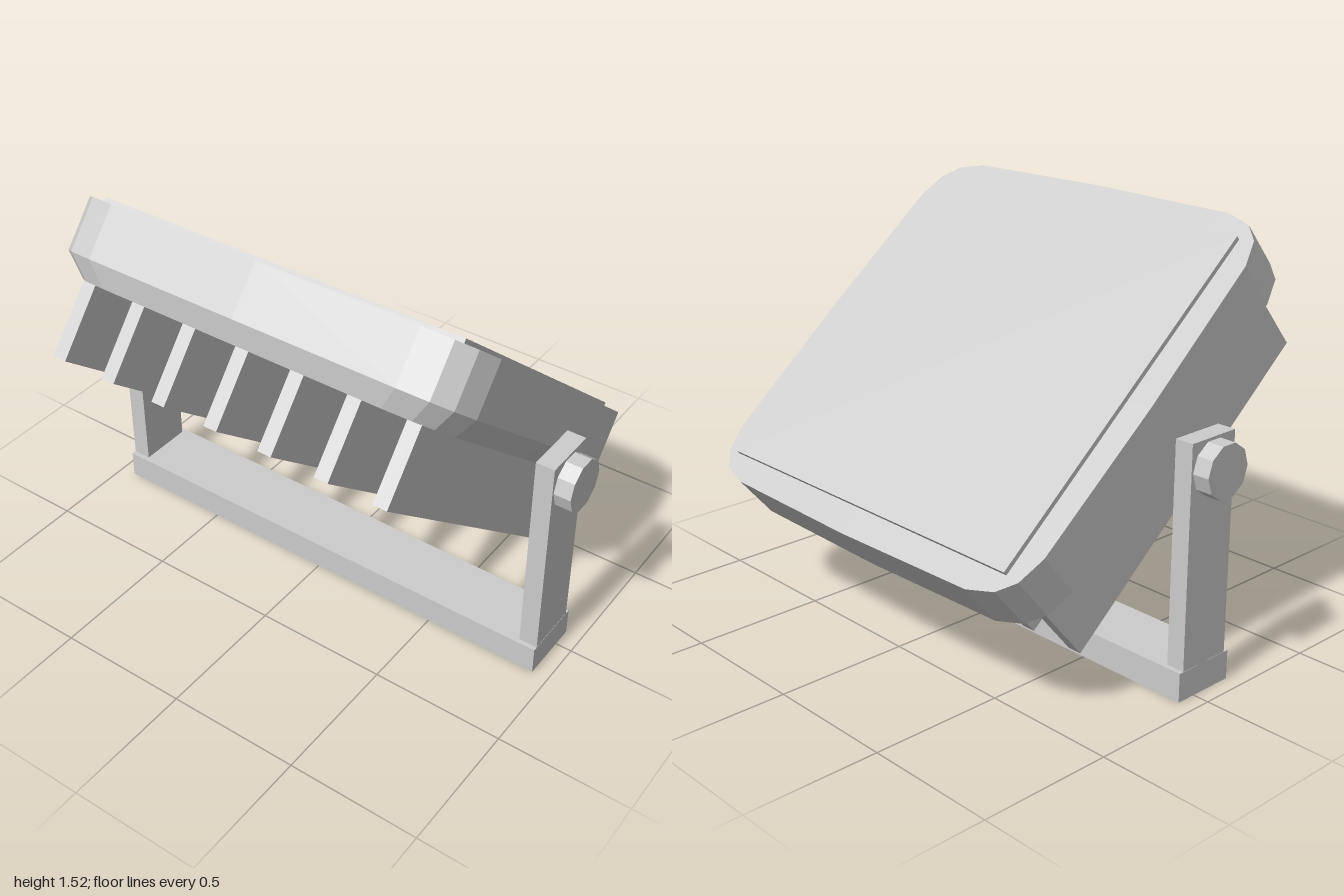
import * as THREE from 'three';

const grey = new THREE.MeshStandardMaterial({ color: 0xcccccc, flatShading: true });
grey.name = 'light grey metal';

function add(parent, name, geometry, x = 0, y = 0, z = 0) {
  const mesh = new THREE.Mesh(geometry, grey);
  mesh.name = name;
  mesh.position.set(x, y, z);
  parent.add(mesh);
  return mesh;
}

// Lathe whose round sections are reshaped into a soft-cornered rectangle
function housingGeometry(halfX, halfZ) {
  const profile = [[0, 0], [0.92, 0], [1, 0.075], [1, 0.272], [0, 0.272]]
    .map(([r, y]) => new THREE.Vector2(r, y));
  const lathe = new THREE.LatheGeometry(profile, 20);
  const p = lathe.attributes.position;
  const soften = (v) => (Math.abs(v) < 1e-5 ? 0 : Math.sign(v) * Math.abs(v) ** 0.25);
  for (let i = 0; i < p.count; i++) {
    const x = p.getX(i), z = p.getZ(i), r = Math.hypot(x, z);
    if (r < 1e-5) continue;
    p.setX(i, halfX * r * soften(x / r));
    p.setZ(i, halfZ * r * soften(z / r));
  }
  const geometry = lathe.toNonIndexed();
  geometry.computeVertexNormals();
  return geometry;
}

export function createModel() {
  const model = new THREE.Group();
  model.name = 'floodlight';
  const pivotY = 0.805, pivotZ = 0.047;

  // Tilted lamp head, with its origin on the pivot axis
  const head = new THREE.Group();
  head.name = 'lampHead';
  head.position.set(0, pivotY, pivotZ);
  head.rotation.x = THREE.MathUtils.degToRad(-40);
  model.add(head);
  add(head, 'housing', housingGeometry(0.82, 0.79));
  add(head, 'lensPlate', new THREE.BoxGeometry(1.44, 0.037, 1.37), 0, 0.2705, 0);

  // Cooling fins on the underside
  const fin = new THREE.BoxGeometry(0.053, 0.298, 1.338);
  for (let i = -3; i <= 3; i++) add(head, 'coolingFin', fin, i * 0.22, -0.129, 0);

  // U-shaped stand
  add(model, 'standBase', new THREE.BoxGeometry(1.876, 0.107, 0.245), 0, 0.0535, pivotZ);
  const arm = new THREE.BoxGeometry(0.07, 0.806, 0.208);
  const knob = new THREE.CylinderGeometry(0.097, 0.097, 0.064, 10).rotateZ(Math.PI / 2);
  for (const side of [-1, 1]) {
    add(model, 'standArm', arm, side * 0.902, 0.505, pivotZ);
    add(model, 'pivotKnob', knob, side * 0.968, pivotY, pivotZ);
  }
  return model;
}
